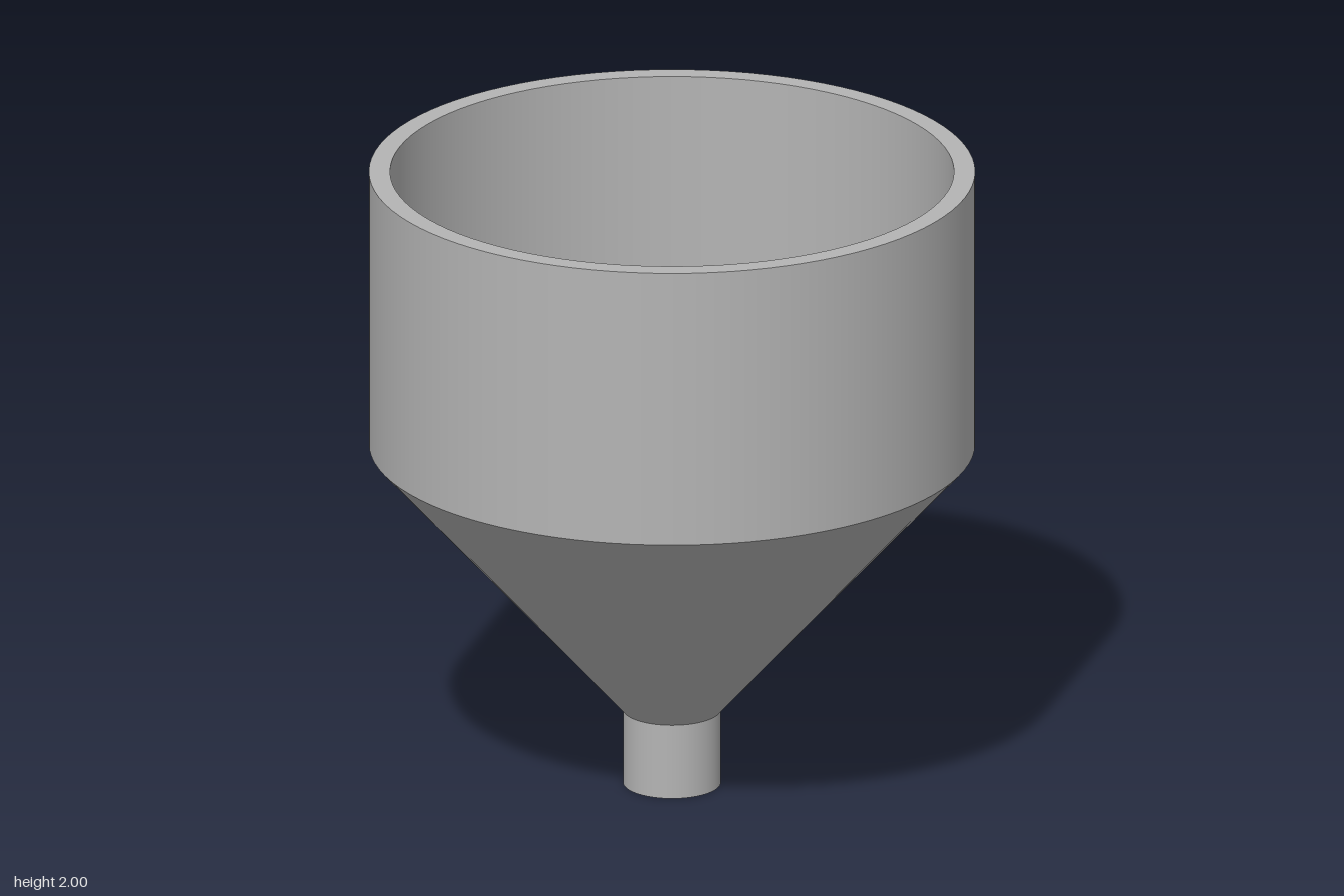
import * as THREE from 'three';

const SEGMENTS = 96;

export function createModel() {
  const model = new THREE.Group();
  model.name = 'funnel';

  const grey = new THREE.MeshStandardMaterial({ color: 0xb4b4b4 });
  grey.name = 'grey';

  // Wall profile as [radius, height]: up the outside, over the rim, down the inside
  const profile = [
    [0.09, 0], [0.15, 0], [0.15, 0.24], [0.935, 1.11], [0.935, 2],
    [0.87, 2], [0.87, 1.11], [0.09, 0.24], [0.09, 0],
  ].map(([r, y]) => new THREE.Vector2(r, y));

  const names = [
    'spoutRim', 'spoutOuter', 'coneOuter', 'bowlOuter',
    'bowlRim', 'bowlInner', 'coneInner', 'spoutBore',
  ];

  // One lathe per profile segment keeps the edges between them sharp
  names.forEach((name, i) => {
    const geometry = new THREE.LatheGeometry([profile[i], profile[i + 1]], SEGMENTS);
    const mesh = new THREE.Mesh(geometry, grey);
    mesh.name = name;
    model.add(mesh);
  });

  return model;
}
